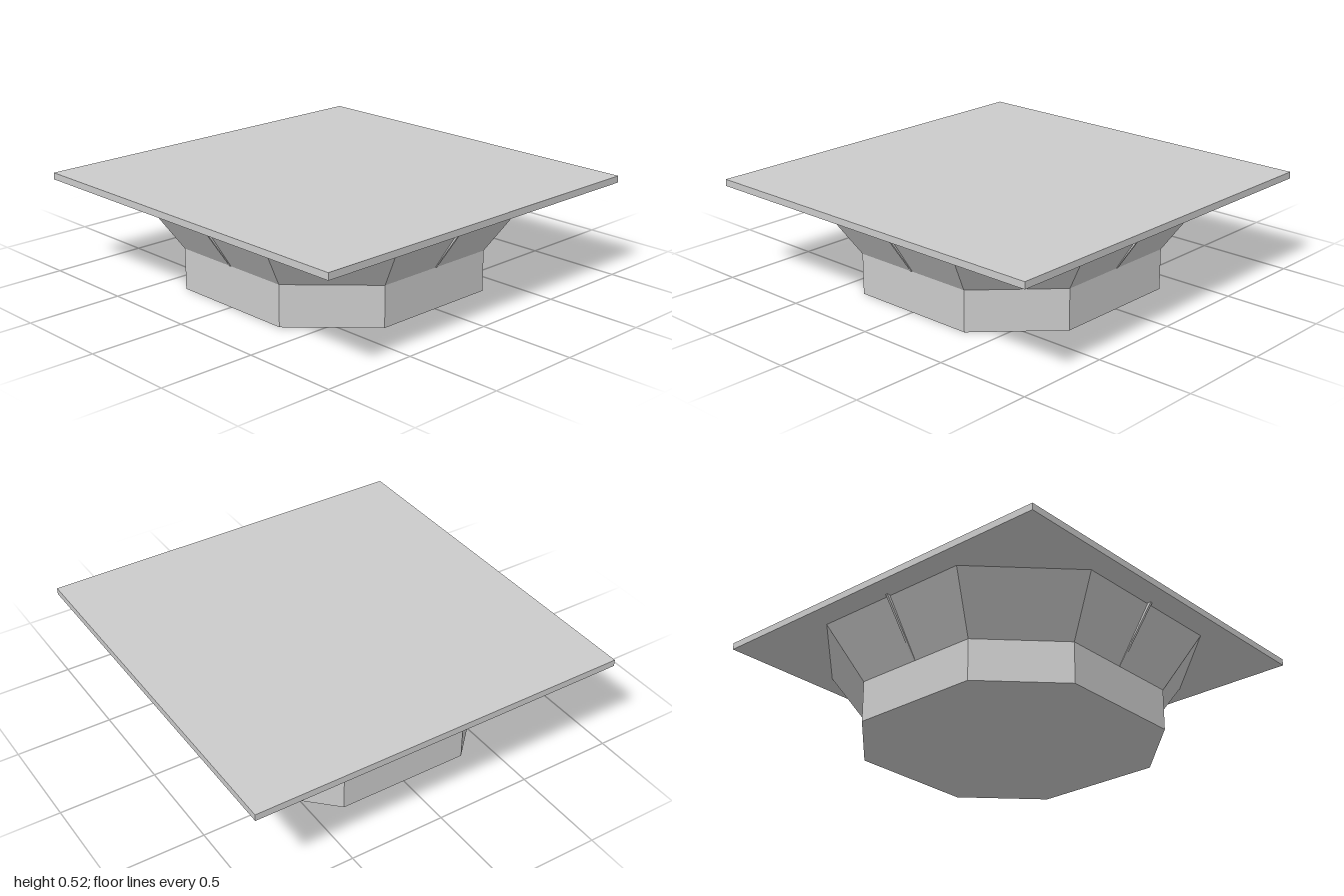
import * as THREE from 'three';

const BASE_R = 0.693, FLARE_R = 0.873, RIB_R = 0.892;
const BASE_TOP = 0.212, FLARE_TOP = 0.487, TOP = 0.525;

// Eight-sided block whose half width runs from r0 at y0 to r1 at y1
function octagonBlock(y0, y1, r0, r1) {
  const pts = [[1, -0.5], [1, 0.5], [0.5, 1], [-0.5, 1], [-1, 0.5], [-1, -0.5], [-0.5, -1], [0.5, -1]];
  const shape = new THREE.Shape(pts.map(([x, y]) => new THREE.Vector2(x, y)));
  const geo = new THREE.ExtrudeGeometry(shape, { depth: y1 - y0, bevelEnabled: false });
  geo.rotateX(-Math.PI / 2);
  const p = geo.attributes.position;
  for (let i = 0; i < p.count; i++) {
    const t = p.getY(i) / (y1 - y0);
    const r = THREE.MathUtils.lerp(r0, r1, t);
    p.setXYZ(i, p.getX(i) * r, y0 + p.getY(i), p.getZ(i) * r);
  }
  geo.computeVertexNormals();
  return geo;
}

export function createModel() {
  const group = new THREE.Group();
  const material = new THREE.MeshStandardMaterial({ color: 0xcccccc, flatShading: true });
  const add = (name, geo) => {
    const mesh = new THREE.Mesh(geo, material);
    mesh.name = name;
    group.add(mesh);
    return mesh;
  };

  // Straight foot and the flared body above it
  add('base', octagonBlock(0, BASE_TOP, BASE_R, BASE_R));
  add('flare', octagonBlock(BASE_TOP, FLARE_TOP, BASE_R, FLARE_R));

  // Square slab on top
  const slab = new THREE.BoxGeometry(2, TOP - 0.49, 2);
  slab.translate(0, (TOP + 0.49) / 2, 0);
  add('topSlab', slab);

  // Thin tapering rib down the middle of each main side
  const profile = new THREE.Shape([
    new THREE.Vector2(BASE_R - 0.03, BASE_TOP),
    new THREE.Vector2(BASE_R + 0.002, BASE_TOP),
    new THREE.Vector2(RIB_R, 0.49),
    new THREE.Vector2(FLARE_R - 0.03, 0.49),
  ]);
  const rib = new THREE.ExtrudeGeometry(profile, { depth: 0.012, bevelEnabled: false });
  rib.translate(0, 0, -0.006);
  for (let i = 0; i < 4; i++) add('rib', rib).rotation.y = i * Math.PI / 2;

  return group;
}
